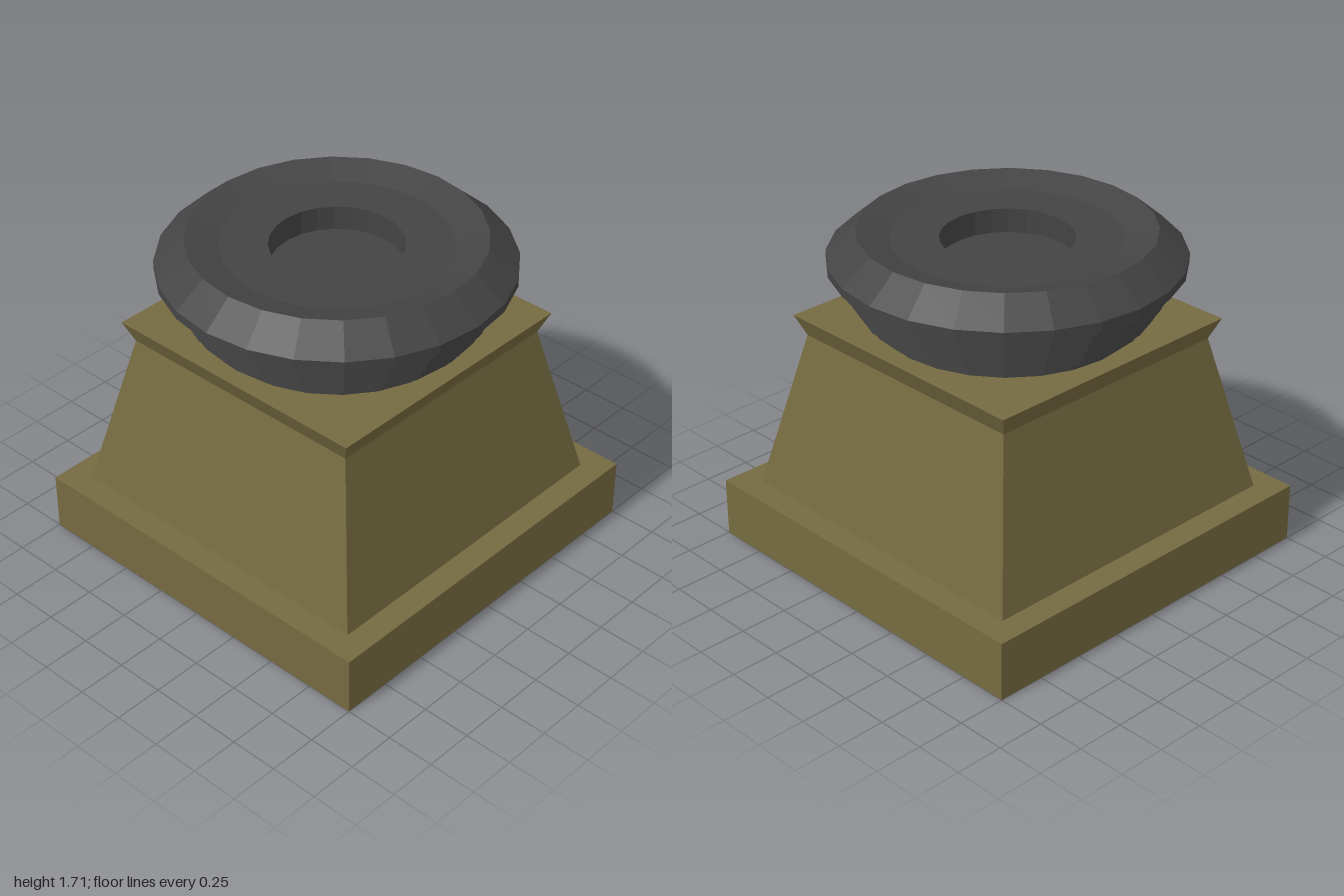
import * as THREE from 'three';

const stone = new THREE.MeshStandardMaterial({ color: 0x756a40, flatShading: true });
const iron = new THREE.MeshStandardMaterial({ color: 0x444444, flatShading: true });

// Square block with different half-widths at bottom and top
function squareFrustum(name, bottom, top, y0, y1) {
  const g = new THREE.CylinderGeometry(top * Math.SQRT2, bottom * Math.SQRT2, y1 - y0, 4);
  g.rotateY(Math.PI / 4);
  g.translate(0, (y0 + y1) / 2, 0);
  const mesh = new THREE.Mesh(g, stone);
  mesh.name = name;
  return mesh;
}

export function createModel() {
  const model = new THREE.Group();
  model.name = 'pedestalBowl';

  // Stone pedestal
  model.add(
    squareFrustum('plinth', 1, 1, 0, 0.305),
    squareFrustum('taperedBody', 0.87, 0.685, 0.305, 1.128),
    squareFrustum('flaredCap', 0.685, 0.73, 1.128, 1.235),
  );

  // Bowl profile: stepped underside, [radius, top height] of each step
  const steps = [
    [0.63, 1.283], [0.685, 1.322], [0.72, 1.378],
    [0.755, 1.445], [0.786, 1.5], [0.833, 1.54],
  ];
  const profile = [[0, 1.235]];
  let y = 1.235;
  for (const [r, top] of steps) {
    profile.push([r, y], [r, top]);
    y = top;
  }
  // Rim, bevel, shallow dish and central socket
  profile.push(
    [0.865, 1.54], [0.865, 1.583], [0.72, 1.708], [0.56, 1.66],
    [0.325, 1.66], [0.325, 1.535], [0, 1.535],
  );
  const bowl = new THREE.Mesh(
    new THREE.LatheGeometry(profile.map(([r, h]) => new THREE.Vector2(r, h)), 24),
    iron,
  );
  bowl.name = 'steppedBowl';
  model.add(bowl);

  return model;
}
